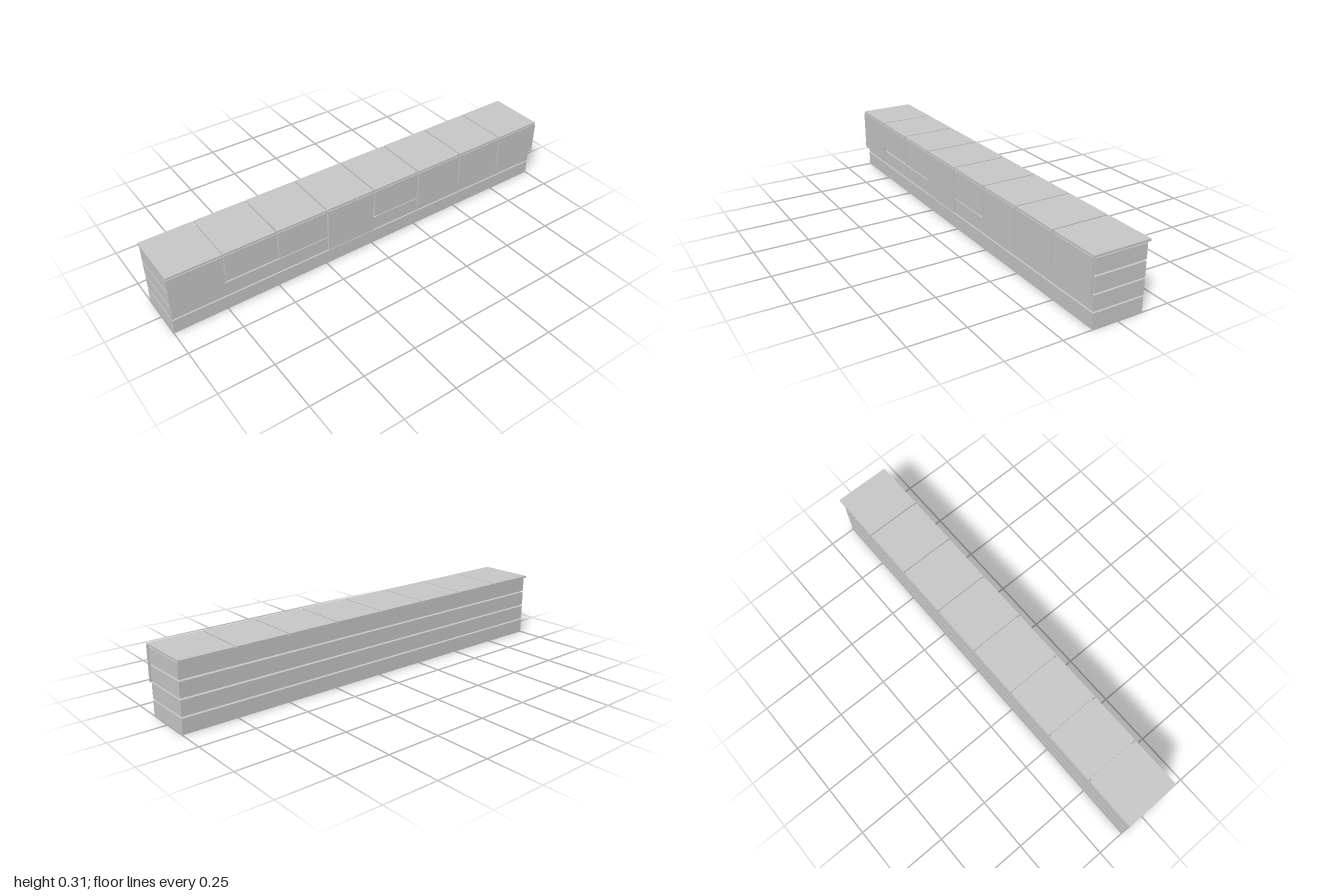
import * as THREE from 'three';

export function createModel() {
  const model = new THREE.Group();
  const grey = new THREE.MeshStandardMaterial({ color: 0xc8c8c8 });
  grey.name = 'light grey';

  // Box given by its lower and upper corners
  const addBox = (name, [x0, y0, z0], [x1, y1, z1]) => {
    const mesh = new THREE.Mesh(new THREE.BoxGeometry(x1 - x0, y1 - y0, z1 - z0), grey);
    mesh.position.set((x0 + x1) / 2, (y0 + y1) / 2, (z0 + z1) / 2);
    mesh.name = name;
    model.add(mesh);
  };

  // Four long beams stacked with open gaps between them
  for (let i = 0; i < 4; i++) {
    const y = i * 0.0755;
    addBox(`beam${i + 1}`, [-0.998, y, -0.122], [0.998, y + 0.068, 0.118]);
  }

  // Row of cap tiles, each with a front panel of its own drop
  const panelBottoms = [0.104, 0.18, 0.164, 0.088, 0.164, 0.111, 0.136, 0.142];
  const width = 0.244;
  const pitch = (2 - width) / 7;
  panelBottoms.forEach((bottom, i) => {
    const x = -1 + i * pitch;
    addBox(`capTile${i + 1}`, [x, 0.299, -0.135], [x + width, 0.308, 0.131]);
    addBox(`frontPanel${i + 1}`, [x, bottom, 0.126], [x + width, 0.299, 0.135]);
  });

  return model;
}
